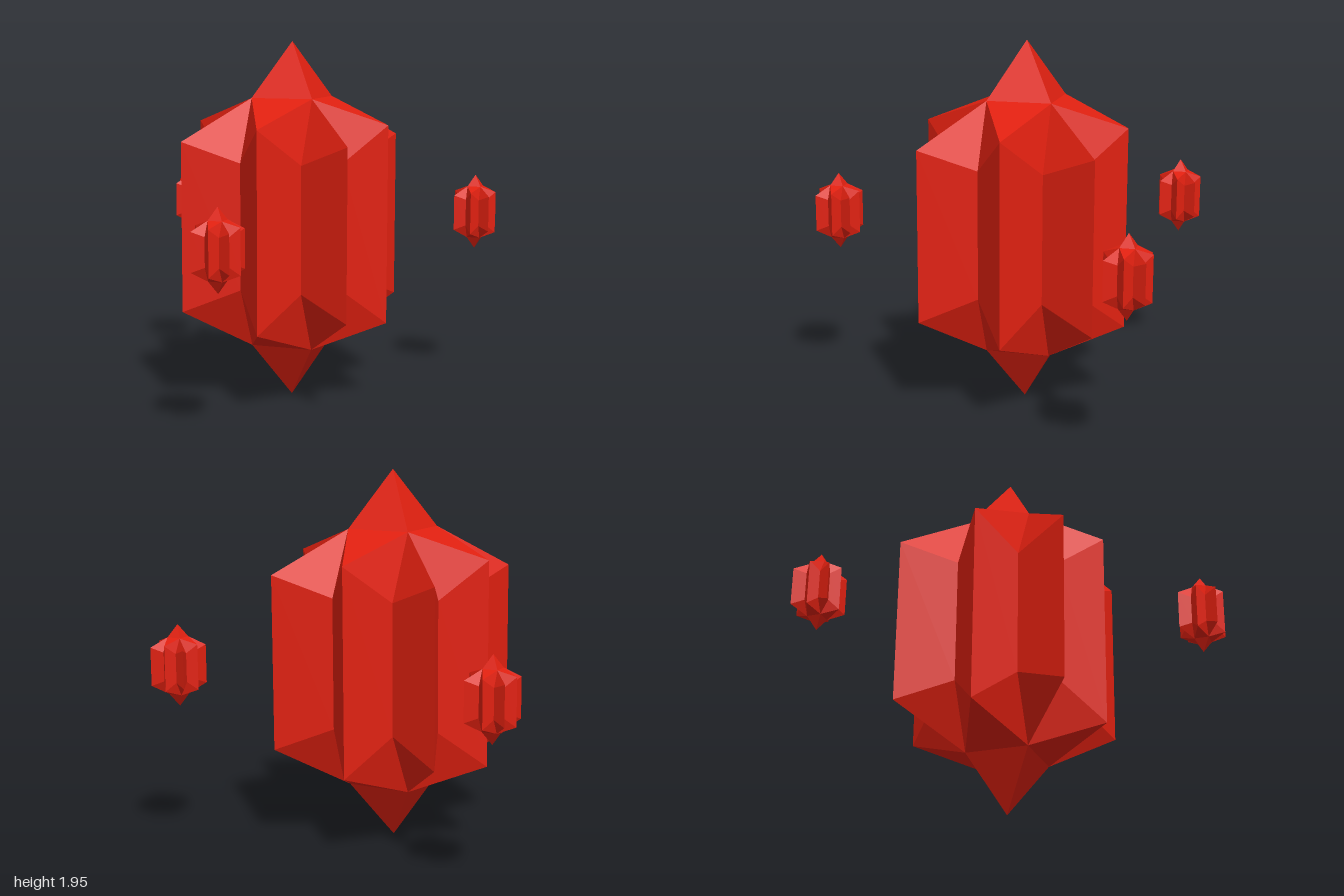
import * as THREE from 'three';

const material = new THREE.MeshStandardMaterial({ color: 0xe02010, flatShading: true });

// Eight-pointed star prism with a four-sided spike at each end, centred on its middle
function crystalGeometry() {
  const positions = [];
  const quarter = ([x, y, z], k) => {
    for (let i = 0; i < k % 4; i++) [x, z] = [-z, x];
    return [x, y, z];
  };
  const flip = ([x, y, z]) => [x, -y, z];
  const tri = (a, b, c) => positions.push(...a, ...b, ...c);
  // adds a top face and its mirrored twin underneath
  const caps = (a, b, c) => {
    tri(a, b, c);
    tri(flip(a), flip(c), flip(b));
  };

  const apex = [0, 0.975, 0];
  const shoulder = [0.17, 0.675, 0.17];
  // one quarter of the rim: axis point, notch, diagonal point, notch
  const rim = [[0.54, 0.535, 0], [0.34, 0.34, 0.17], [0.457, 0.455, 0.457], [0.17, 0.34, 0.34]];

  for (let k = 0; k < 4; k++) {
    const p = quarter(shoulder, k);
    const previous = quarter(shoulder, k + 3);
    const points = [...rim.map((v) => quarter(v, k)), quarter(rim[0], k + 1)];
    caps(apex, p, previous); // spike
    caps(points[0], previous, p); // top of the axis arm
    for (let i = 0; i < 4; i++) {
      const a = points[i], b = points[i + 1];
      caps(p, b, a); // sloping flanks
      tri(a, b, flip(a)); // upright walls
      tri(b, flip(b), flip(a));
    }
  }
  const geometry = new THREE.BufferGeometry();
  geometry.setAttribute('position', new THREE.Float32BufferAttribute(positions, 3));
  geometry.computeVertexNormals();
  return geometry;
}

export function createModel() {
  const model = new THREE.Group();
  model.name = 'crystalCluster';
  const geometry = crystalGeometry();

  const addCrystal = (name, x, z, scale) => {
    const mesh = new THREE.Mesh(geometry, material);
    mesh.name = name;
    mesh.position.set(x, 0.985, z);
    mesh.scale.setScalar(scale);
    model.add(mesh);
  };

  addCrystal('mainCrystal', 0, -0.18, 1);
  // three small crystals floating around the main one
  addCrystal('frontSmallCrystal', 0, 0.88, 0.217);
  addCrystal('leftSmallCrystal', 0.865, -0.88, 0.217);
  addCrystal('rightSmallCrystal', -0.865, -0.88, 0.217);
  return model;
}
